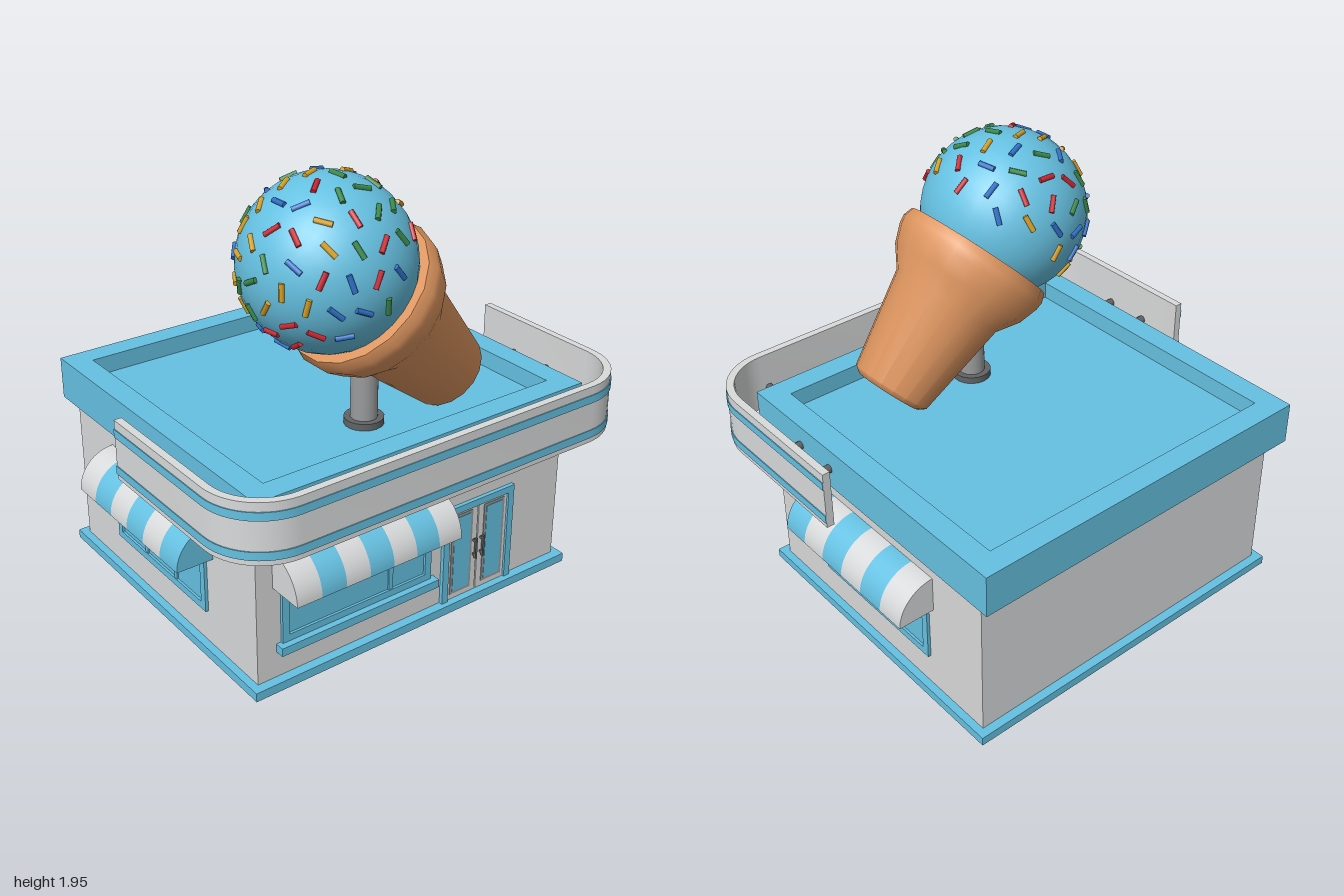
import * as THREE from 'three';
import { mergeGeometries, toCreasedNormals } from 'three/addons/utils/BufferGeometryUtils.js';

const mat = (name, color) => Object.assign(new THREE.MeshStandardMaterial({ color }), { name });

export function createModel() {
  const blue = mat('sky blue', 0x66c1e2);
  const white = mat('off white', 0xd9dadb);
  const wafer = mat('wafer', 0xdd955f);
  const steel = mat('steel', 0x9a9b9c);
  const dark = mat('dark metal', 0x626365);
  const sprinkleMats = [mat('red', 0xcc2530), mat('green', 0x3a8a4a),
    mat('yellow', 0xd9a225), mat('royal blue', 0x2f72cc)];

  const model = new THREE.Group();
  model.name = 'iceCreamShop';

  const add = (parent, name, geo, material) => {
    const m = new THREE.Mesh(geo, material);
    m.name = name;
    parent.add(m);
    return m;
  };
  // Box given by its limits on each axis
  const box = (parent, name, material, [x0, x1], [y0, y1], [z0, z1]) => {
    const m = add(parent, name, new THREE.BoxGeometry(x1 - x0, y1 - y0, z1 - z0), material);
    m.position.set((x0 + x1) / 2, (y0 + y1) / 2, (z0 + z1) / 2);
    return m;
  };
  const group = (name, x, y, z, turn = 0) => {
    const g = new THREE.Group();
    g.name = name;
    g.position.set(x, y, z);
    g.rotation.y = turn;
    model.add(g);
    return g;
  };
  const rect = (s, x, z0, z1) =>
    s.moveTo(-x, -z1).lineTo(x, -z1).lineTo(x, -z0).lineTo(-x, -z0).closePath();
  // Extrude a plan (x, -z) upwards
  const raise = (shape, y, h, curveSegments = 6) => {
    const g = new THREE.ExtrudeGeometry(shape, { depth: h, bevelEnabled: false, curveSegments });
    g.rotateX(-Math.PI / 2).translate(0, y, 0);
    return toCreasedNormals(g, 0.6);
  };

  // Base, walls and roof with a sunken deck
  const FRONT = 0.623;
  box(model, 'base', blue, [-0.835, 0.835], [0, 0.04], [-0.82, 0.665]);
  box(model, 'walls', white, [-0.8, 0.8], [0.04, 0.73], [-0.78, FRONT]);
  const parapet = new THREE.Shape();
  rect(parapet, 0.835, -0.855, 0.69);
  const opening = new THREE.Path();
  rect(opening, 0.73, -0.75, 0.585);
  parapet.holes.push(opening);
  add(model, 'parapet', raise(parapet, 0.72, 0.19), blue);
  box(model, 'roofDeck', blue, [-0.74, 0.74], [0.725, 0.83], [-0.76, 0.595]);

  // Rounded sign band wrapping the front, with two stripes
  const bandPlan = (grow, thick) => {
    const s = new THREE.Shape();
    const x = 0.996 + grow, z = 0.847 + grow, r = 0.26 + grow;
    const xi = x - thick, zi = z - thick, cx = x - r, cz = z - r, ri = r - thick;
    s.moveTo(-x, 0.06).lineTo(-x, -cz);
    s.absarc(-cx, -cz, r, Math.PI, Math.PI * 1.5, false);
    s.absarc(cx, -cz, r, -Math.PI / 2, 0, false);
    s.lineTo(x, 0.06).lineTo(xi, 0.06);
    s.absarc(cx, -cz, ri, 0, -Math.PI / 2, true);
    s.absarc(-cx, -cz, ri, Math.PI * 1.5, Math.PI, true);
    s.lineTo(-xi, 0.06).closePath();
    return s;
  };
  add(model, 'signBand', raise(bandPlan(0, 0.034), 0.722, 0.263), white);
  for (const y of [0.745, 0.91])
    add(model, 'signStripe', raise(bandPlan(0.004, 0.007), y, 0.036), blue);

  // Rods holding the band
  const rod = (x, z, len, alongX) => {
    const m = add(model, 'bandRod', new THREE.CylinderGeometry(0.019, 0.019, len, 10), dark);
    m.position.set(x, 0.815, z);
    if (alongX) m.rotation.z = Math.PI / 2; else m.rotation.x = Math.PI / 2;
  };
  for (const x of [-0.705, -0.175, 0.165, 0.705]) rod(x, 0.75, 0.15, false);
  for (const s of [-1, 1]) for (const z of [0.15, 0.36]) rod(s * 0.9, z, 0.15, true);

  // Striped quarter-round awning, running along local x and facing local z
  const awning = (parent, width, count, firstBlue) => {
    const R = 0.165, T = 0.012;
    const shell = new THREE.Shape();
    shell.moveTo(R, 0).absarc(0, 0, R, 0, Math.PI / 2, false);
    shell.lineTo(0, R - T).absarc(0, 0, R - T, Math.PI / 2, 0, true);
    const cap = new THREE.Shape();
    cap.moveTo(0, 0).lineTo(R - T, 0).absarc(0, 0, R - T, 0, Math.PI / 2, false);
    const slice = (shape, x0, w, material, name) => {
      const g = new THREE.ExtrudeGeometry(shape, { depth: w, bevelEnabled: false, curveSegments: 8 });
      g.rotateY(-Math.PI / 2).translate(x0 + w, 0, 0);
      add(parent, name, toCreasedNormals(g, 0.6), material);
    };
    const w = width / count;
    const color = i => ((i % 2 === 0) === firstBlue ? blue : white);
    for (let i = 0; i < count; i++) slice(shell, -width / 2 + i * w, w, color(i), 'awningStripe');
    slice(cap, -width / 2, 0.01, color(0), 'awningEnd');
    slice(cap, width / 2 - 0.01, 0.01, color(count - 1), 'awningEnd');
  };
  // Framed window, y measured from its bottom edge
  const windowUnit = (parent, w, h, bars) => {
    const t = 0.033, d = 0.014, x = w / 2;
    box(parent, 'pane', blue, [-x, x], [0, h], [-0.01, 0.003]);
    for (const s of [-1, 1])
      box(parent, 'windowJamb', blue, [s * (x - t / 2) - t / 2, s * (x - t / 2) + t / 2], [0, h], [-0.01, d]);
    box(parent, 'windowRail', blue, [-x + t, x - t], [0, t], [-0.01, d]);
    box(parent, 'windowRail', blue, [-x + t, x - t], [h - t, h], [-0.01, d]);
    for (const b of bars) box(parent, 'mullion', blue, [b - 0.011, b + 0.011], [t, h - t], [-0.01, 0.01]);
  };

  windowUnit(group('frontWindow', -0.31, 0.195, FRONT), 0.755, 0.36, [0.165]);
  awning(group('frontAwning', -0.315, 0.463, FRONT), 0.815, 7, false);
  box(model, 'windowSill', blue, [-0.71, 0.09], [0.16, 0.197], [FRONT - 0.01, 0.665]);
  for (const s of [-1, 1]) {
    const turn = s * Math.PI / 2;
    windowUnit(group('sideWindow', s * 0.8, 0.19, -0.09, turn), 0.72, 0.36, s < 0 ? [-0.12, 0.12] : []);
    awning(group('sideAwning', s * 0.8, 0.463, -0.08, turn), 0.8, 6, s > 0);
  }

  // Double door
  const door = group('door', 0.328, 0.04, FRONT);
  box(door, 'doorHead', blue, [-0.195, 0.195], [0.425, 0.457], [-0.01, 0.018]);
  for (const s of [-1, 1]) {
    const side = (a, b) => (s > 0 ? [a, b] : [-b, -a]);
    box(door, 'doorJamb', blue, side(0.163, 0.195), [0, 0.425], [-0.01, 0.018]);
    box(door, 'doorLeaf', white, side(0.003, 0.163), [0, 0.425], [-0.01, 0.008]);
    box(door, 'doorTrim', steel, side(0.032, 0.147), [0.025, 0.412], [0, 0.011]);
    box(door, 'doorGlass', blue, side(0.044, 0.135), [0.038, 0.4], [0, 0.013]);
    box(door, 'doorHandle', dark, side(0.015, 0.025), [0.17, 0.27], [0.02, 0.03]);
    for (const y of [0.18, 0.25])
      box(door, 'handleMount', dark, side(0.015, 0.025), [y, y + 0.01], [0.005, 0.022]);
  }

  // Post carrying the giant cone
  const cyl = (name, r, y0, y1, material) => {
    const m = add(model, name, new THREE.CylinderGeometry(r, r, y1 - y0, 18), material);
    m.position.set(-0.035, (y0 + y1) / 2, 0.3);
  };
  cyl('postFlange', 0.085, 0.825, 0.86, dark);
  cyl('post', 0.058, 0.83, 1.22, steel);

  // Tilted ice cream: local +y points out of the scoop
  const ice = group('iceCream', -0.225, 1.58, 0.3);
  ice.rotation.z = Math.PI / 4;
  const R = 0.357;
  add(ice, 'scoop', new THREE.SphereGeometry(R, 28, 20), blue);
  const profile = [[0, -0.912], [0.15, -0.912], [0.178, -0.89], [0.25, -0.455], [0.315, -0.365],
    [0.345, -0.28], [0.349, -0.245], [0.335, -0.203], [0.28, -0.2]].map(p => new THREE.Vector2(...p));
  add(ice, 'cone', toCreasedNormals(new THREE.LatheGeometry(profile, 18), 0.75), wafer);

  // Sprinkles spread over the exposed cap on a golden-angle spiral
  const N = 76, sets = sprinkleMats.map(() => []);
  let seed = 7;
  const rand = () => (seed = (seed * 16807) % 2147483647) / 2147483647;
  for (let i = 0; i < N; i++) {
    const c = 1 - 1.22 * (i + 0.5) / N, a = i * 2.39996, q = Math.sqrt(1 - c * c);
    const n = new THREE.Vector3(q * Math.cos(a), c, q * Math.sin(a));
    const g = new THREE.CylinderGeometry(0.0115, 0.0115, 0.072, 7);
    g.rotateX(Math.PI / 2).rotateY(rand() * Math.PI);
    g.applyQuaternion(new THREE.Quaternion().setFromUnitVectors(new THREE.Vector3(0, 1, 0), n));
    g.translate(n.x * R, n.y * R, n.z * R);
    sets[Math.floor(rand() * 4)].push(g);
  }
  sets.forEach((list, i) => {
    if (list.length) add(ice, 'sprinkles', mergeGeometries(list), sprinkleMats[i]);
  });

  return model;
}
